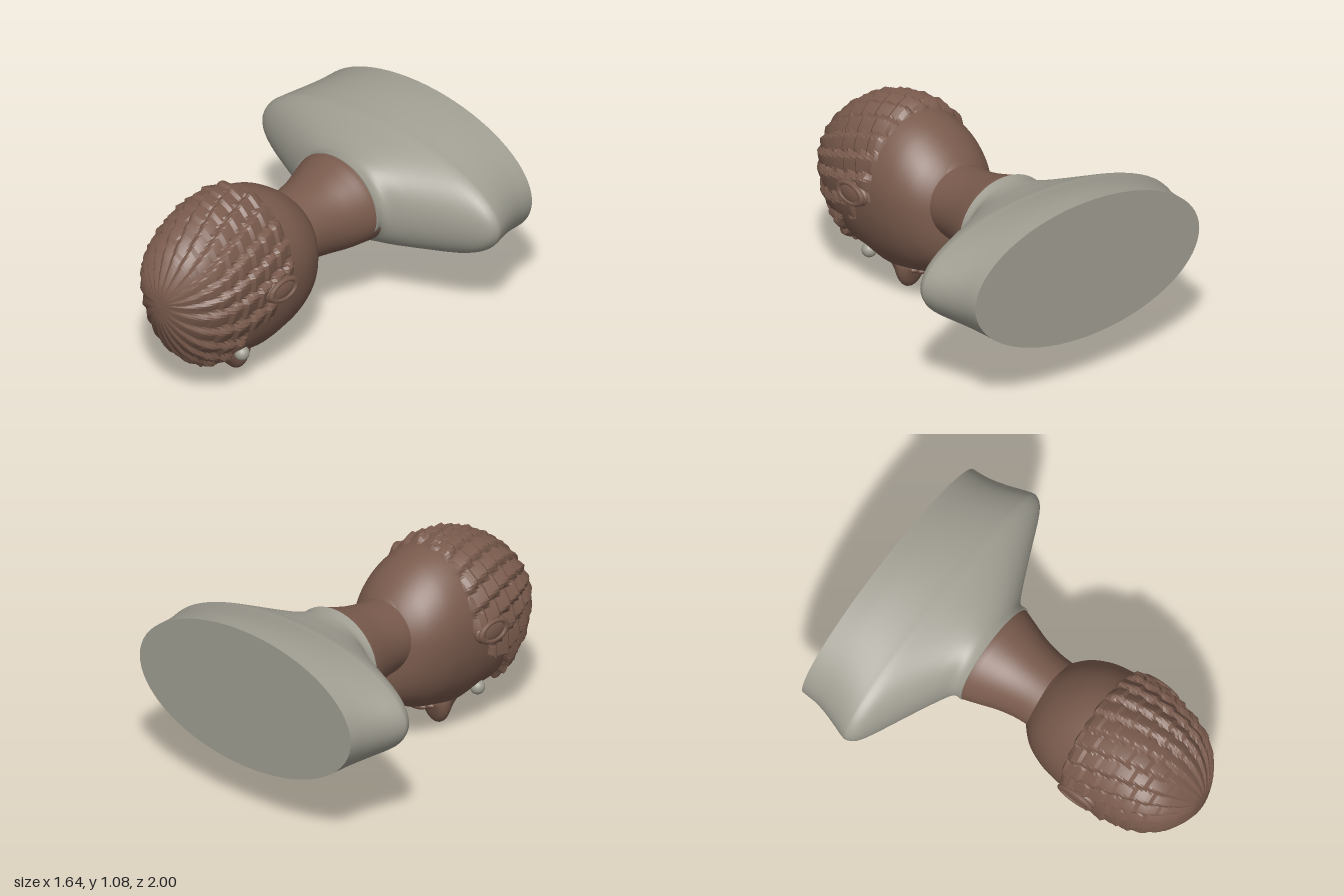
import * as THREE from 'three';

const stone = new THREE.MeshStandardMaterial({ color: 0xa09e92 });
stone.name = 'stone grey';
const skin = new THREE.MeshStandardMaterial({ color: 0x7a5b4d });
skin.name = 'brown';
const curls = new THREE.MeshStandardMaterial({ color: 0x7a5b4d, flatShading: true });
curls.name = 'faceted brown';

const { smoothstep, clamp } = THREE.MathUtils;

// Lofts stations [z, halfWidth, yTop, yBottom], listed from +z to -z, around centre height yc.
// The optional rule moves each point: rule(point, angle, halfWidth).
function loft(stations, yc, rings, sides, rule) {
  const widths = new THREE.SplineCurve(stations.map(s => new THREE.Vector2(s[0], s[1])));
  const heights = new THREE.SplineCurve(stations.map(s => new THREE.Vector2(s[2], s[3])));
  const pos = [], index = [], p = new THREE.Vector3();
  for (let j = 0; j <= rings; j++) {
    const w = widths.getPoint(j / rings), h = heights.getPoint(j / rings);
    const mid = clamp(yc, h.y, h.x);
    for (let i = 0; i < sides; i++) {
      const a = i / sides * Math.PI * 2, s = Math.sin(a);
      p.set(w.y * Math.cos(a), mid + s * (s > 0 ? h.x - mid : mid - h.y), w.x);
      if (rule) rule(p, a, w.y);
      pos.push(p.x, p.y, p.z);
    }
  }
  for (let j = 0; j < rings; j++) {
    for (let i = 0; i < sides; i++) {
      const n = (i + 1) % sides;
      const a = j * sides + i, b = j * sides + n, c = a + sides, d = b + sides;
      index.push(a, c, b, b, c, d);
    }
  }
  // Flat end caps with their own corners, so the rim stays sharp
  for (const j of [0, rings]) {
    const base = pos.length / 3;
    const centre = [0, 0, 0];
    for (let i = 0; i < sides; i++) {
      for (let k = 0; k < 3; k++) {
        const v = pos[(j * sides + i) * 3 + k];
        pos.push(v);
        centre[k] += v / sides;
      }
    }
    pos.push(...centre);
    for (let i = 0; i < sides; i++) {
      const n = (i + 1) % sides;
      if (j === 0) index.push(base + sides, base + i, base + n);
      else index.push(base + sides, base + n, base + i);
    }
  }
  const g = new THREE.BufferGeometry();
  g.setAttribute('position', new THREE.Float32BufferAttribute(pos, 3));
  g.setIndex(index);
  g.computeVertexNormals();
  return g;
}

const HEAD = [
  [0.985, 0.012, 0.61, 0.585], [0.975, 0.07, 0.69, 0.51], [0.94, 0.14, 0.76, 0.42],
  [0.88, 0.21, 0.84, 0.32], [0.8, 0.265, 0.91, 0.24], [0.7, 0.3, 0.975, 0.175],
  [0.6, 0.322, 1.015, 0.14], [0.5, 0.333, 1.035, 0.135], [0.4, 0.336, 1.04, 0.14],
  [0.3, 0.33, 1.02, 0.16], [0.2, 0.31, 0.985, 0.19], [0.1, 0.265, 0.925, 0.245],
  [0.03, 0.2, 0.86, 0.3], [-0.01, 0.14, 0.8, 0.36],
];

// Jaw reaches further down the neck than the skull; eye sockets are pressed in
function faceRule(p) {
  const fade = clamp(1 - p.z / 0.3, 0, 1);
  p.z += 0.13 * (p.y - 0.62) * fade;
  const dx = Math.abs(p.x) - 0.17, dy = p.y - 0.2, dz = p.z - 0.56;
  const dent = Math.exp(-(dx * dx + dy * dy + dz * dz) / 0.005);
  p.x *= 1 - 0.2 * dent;
  p.y += 0.02 * dent;
}

// Twisted ridges of curls, sunk under the skin outside the hairline
function hairRule(p, a, hw) {
  const line = 0.34 + 0.12 * smoothstep(-p.y, -0.62, -0.56)
    + 0.16 * smoothstep(-p.y, -0.47, -0.43) + 0.3 * Math.max(0, 0.45 - p.y);
  const inside = smoothstep(p.z, line - 0.015, line + 0.015);
  const ridge = a * 22 / (Math.PI * 2) + 2.5 * p.z;
  const saw = ridge - Math.floor(ridge);
  const lump = p.z * 11 + 0.5 * Math.floor(ridge);
  const step = (lump - Math.floor(lump)) * smoothstep(-p.z, -0.92, -0.75);
  const rise = 0.004 + 0.022 * Math.min(saw * 1.4, (1 - saw) * 3.5) + 0.016 * step;
  const d = (inside * (rise + 0.03) - 0.03) * Math.min(1, hw / 0.2);
  p.x += d * Math.cos(a);
  p.y += d * Math.sin(a);
  p.z += 0.015 * inside;
}

export function createModel() {
  const model = new THREE.Group();
  model.name = 'lyingBust';
  const add = (name, geometry, material, parent = model) => {
    const m = new THREE.Mesh(geometry, material);
    m.name = name;
    parent.add(m);
    return m;
  };

  // Shoulders with a flat cut base
  add('shoulders', loft([
    [-0.325, 0.29, 0.918, 0.455], [-0.38, 0.3, 0.91, 0.43], [-0.44, 0.41, 0.915, 0.405],
    [-0.5, 0.54, 0.93, 0.38], [-0.6, 0.76, 0.96, 0.36], [-0.655, 0.815, 0.98, 0.34],
    [-0.7, 0.812, 0.99, 0.325], [-0.8, 0.775, 1.015, 0.3], [-0.9, 0.747, 1.033, 0.28],
    [-1, 0.738, 1.04, 0.27],
  ], 0.655, 36, 72), stone);

  // Neck runs into both head and shoulders
  add('neck', loft([
    [0.16, 0.19, 0.83, 0.46], [0.05, 0.195, 0.835, 0.45], [-0.05, 0.2, 0.845, 0.445],
    [-0.15, 0.22, 0.862, 0.43], [-0.25, 0.255, 0.89, 0.418], [-0.34, 0.284, 0.912, 0.42],
    [-0.46, 0.29, 0.87, 0.405],
  ], 0.65, 20, 56), skin);

  const head = new THREE.Group();
  head.name = 'head';
  model.add(head);
  add('skullAndFace', loft(HEAD, 0.64, 60, 96, faceRule), skin, head);
  add('curlyHair', loft(HEAD, 0.64, 70, 176, hairRule), curls, head);

  // Nose with its tip at the lowest point
  add('nose', loft([
    [0.64, 0.03, 0.2, 0.15], [0.57, 0.045, 0.2, 0.115], [0.5, 0.06, 0.2, 0.05],
    [0.445, 0.085, 0.2, 0.002], [0.405, 0.08, 0.2, 0.025], [0.365, 0.05, 0.2, 0.12],
  ], 0.14, 18, 24), skin, head);

  // Lips and chin
  for (const [name, z, y, w] of [['upperLip', 0.31, 0.162, 0.095], ['lowerLip', 0.26, 0.172, 0.085]]) {
    const lip = add(name, new THREE.SphereGeometry(1, 24, 12), skin, head);
    lip.scale.set(w, 0.025, 0.028);
    lip.position.set(0, y, z);
  }

  // Eyes, brows and ears on both sides
  for (const [side, s] of [['left', 1], ['right', -1]]) {
    const eye = add(side + 'Eye', new THREE.SphereGeometry(0.04, 20, 14), stone, head);
    eye.position.set(s * 0.165, 0.21, 0.56);
    const ear = add(side + 'Ear', new THREE.SphereGeometry(1, 24, 16), skin, head);
    ear.scale.set(0.036, 0.07, 0.115);
    ear.position.set(s * 0.347, 0.635, 0.465);
    const rim = add(side + 'EarRim', new THREE.TorusGeometry(0.06, 0.014, 8, 28), skin, head);
    rim.rotation.y = Math.PI / 2;
    rim.scale.set(1.5, 0.9, 1);
    rim.position.set(s * 0.37, 0.635, 0.465);
  }
  return model;
}
